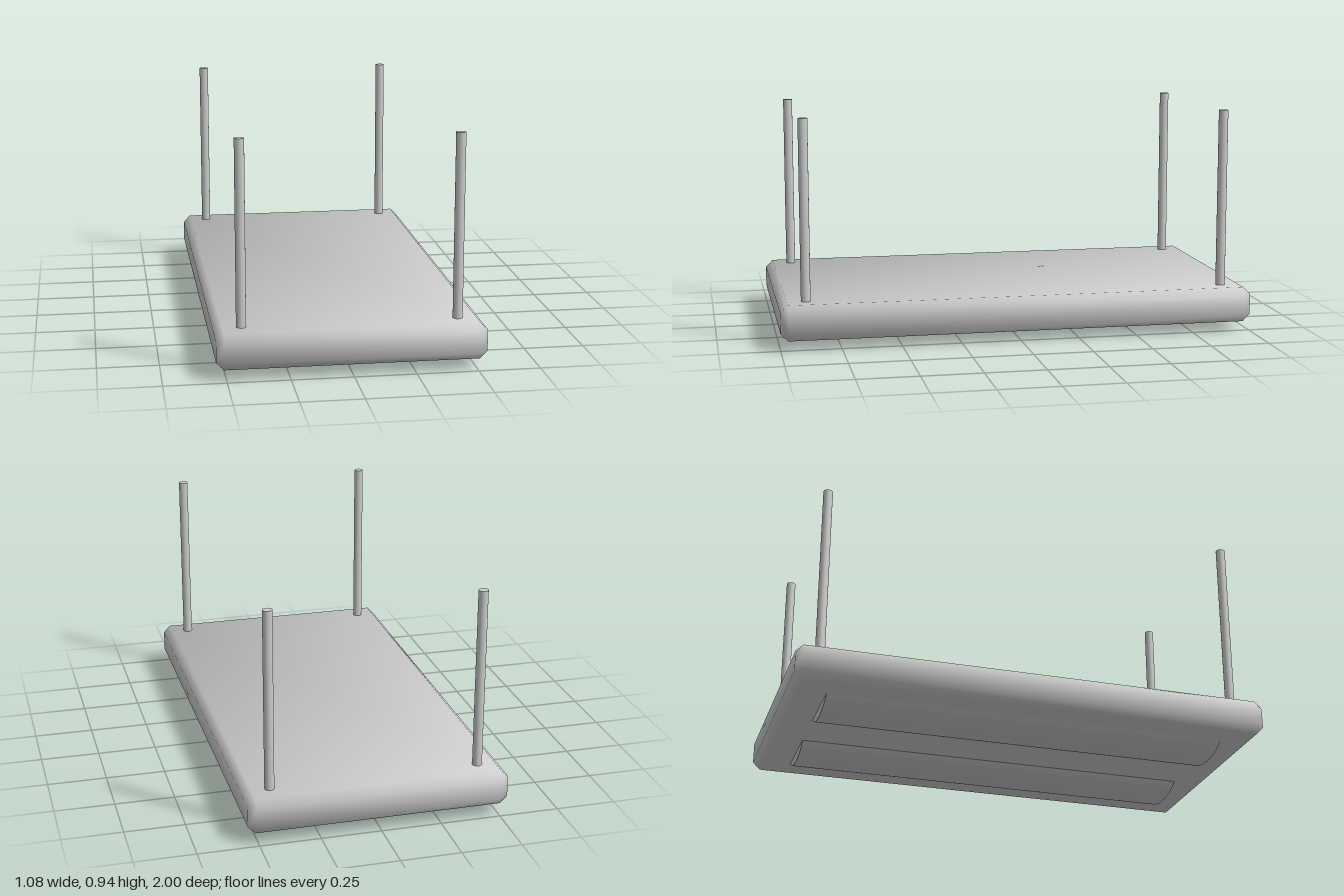
import * as THREE from 'three';
import { ConvexGeometry } from 'three/addons/geometries/ConvexGeometry.js';

const material = new THREE.MeshStandardMaterial({ color: 0xcccccc });

// Box with every edge and corner chamfered, shaded softly across its faces
function chamferedBox(hx, hy, hz, c) {
  const half = [hx, hy, hz];
  const points = [];
  for (const sx of [-1, 1]) for (const sy of [-1, 1]) for (const sz of [-1, 1]) {
    for (let axis = 0; axis < 3; axis++) {
      const p = [sx, sy, sz].map((s, i) => s * (half[i] - (i === axis ? 0 : c)));
      points.push(new THREE.Vector3(...p));
    }
  }
  const geometry = new ConvexGeometry(points);
  // Each vertex normal is the mean of the faces that meet there
  const pos = geometry.attributes.position;
  const normal = new THREE.Vector3();
  for (let v = 0; v < pos.count; v++) {
    const p = [pos.getX(v), pos.getY(v), pos.getZ(v)];
    const n = p.map((k, i) => Math.sign(k) * (Math.abs(k) > half[i] - c / 2 ? 2.99 : 1.28));
    normal.set(...n).normalize();
    geometry.attributes.normal.setXYZ(v, normal.x, normal.y, normal.z);
  }
  return geometry;
}

export function createModel() {
  const group = new THREE.Group();
  const add = (name, geometry, x, y, z) => {
    const mesh = new THREE.Mesh(geometry, material);
    mesh.name = name;
    mesh.position.set(x, y, z);
    group.add(mesh);
  };

  // Slab
  add('slab', chamferedBox(0.54, 0.0745, 1, 0.031), 0, 0.1215, 0);

  // Rounded runners half sunk into the underside
  const runner = new THREE.CylinderGeometry(1, 1, 1.7, 48);
  runner.rotateX(Math.PI / 2).scale(0.157, 0.07, 1);
  for (const side of [-1, 1]) add('runner', runner, side * 0.257, 0.075, 0);

  // Corner posts
  const post = new THREE.CylinderGeometry(0.02, 0.02, 0.79, 24);
  for (const x of [-0.434, 0.434]) for (const z of [-0.89, 0.89]) {
    add('cornerPost', post, x, 0.555, z);
  }
  return group;
}
